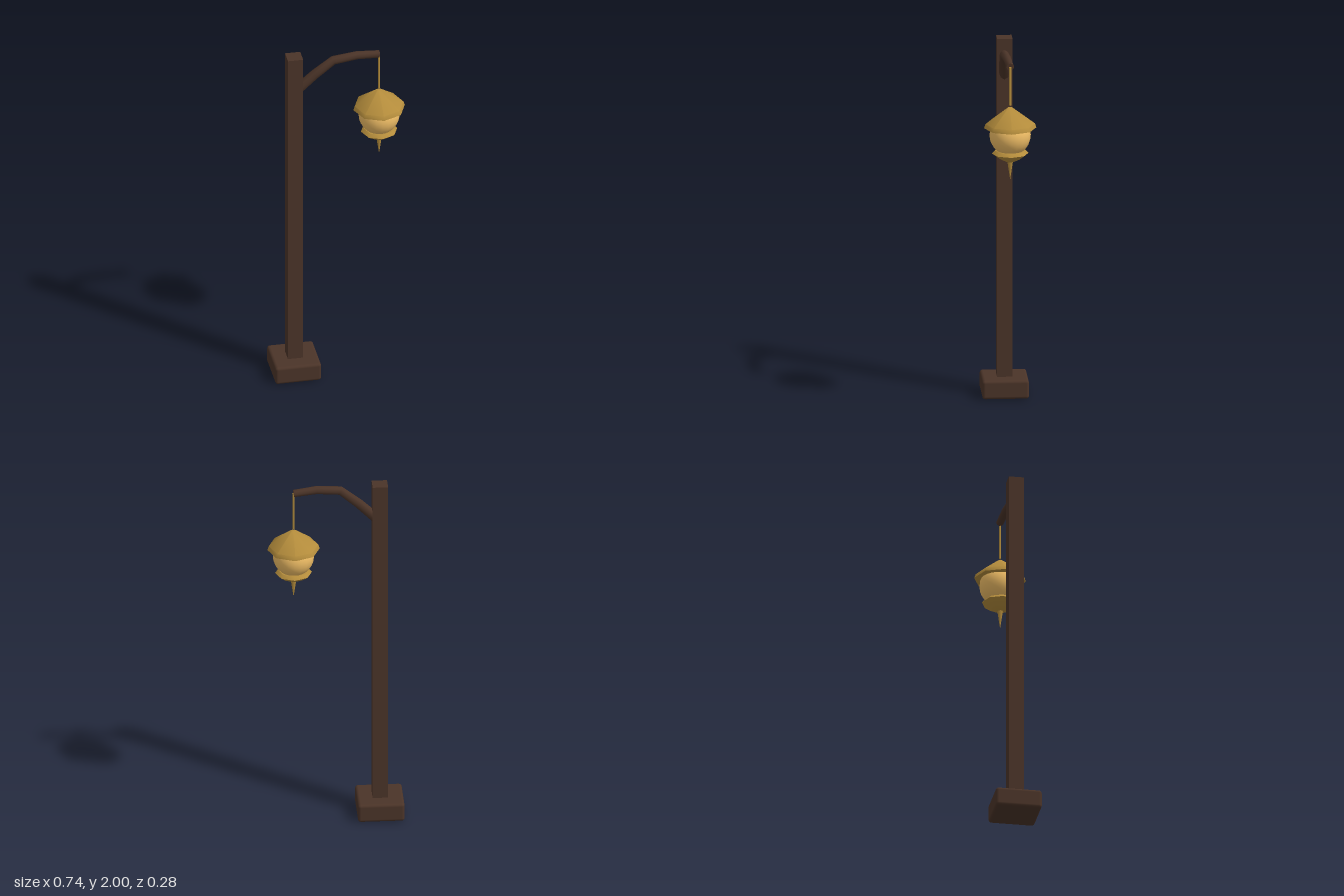
import * as THREE from 'three';
import { toCreasedNormals } from 'three/addons/utils/BufferGeometryUtils.js';
import { RoundedBoxGeometry } from 'three/addons/geometries/RoundedBoxGeometry.js';

const POST_X = -0.243;
const LAMP_X = 0.225;

const wood = new THREE.MeshStandardMaterial({ color: 0x4b3428 });
const brass = new THREE.MeshStandardMaterial({ color: 0xb58d3c });
const glow = new THREE.MeshStandardMaterial({ color: 0xf0be66 });

function add(group, name, geometry, material, x = 0, y = 0, z = 0) {
  const mesh = new THREE.Mesh(geometry, material);
  mesh.name = name;
  mesh.position.set(x, y, z);
  group.add(mesh);
  return mesh;
}

// Eight-sided turned part, profile given from bottom to top as [radius, y]
function octagonTurned(profile) {
  const points = profile.map(([r, y]) => new THREE.Vector2(r, y));
  return toCreasedNormals(new THREE.LatheGeometry(points, 8), 0.8);
}

// Bent branch that thins along its length, with closed ends
function taperedBranch(points, r0, r1, sides) {
  const path = new THREE.CurvePath();
  for (let i = 1; i < points.length; i++) path.add(new THREE.LineCurve3(points[i - 1], points[i]));
  const positions = [], index = [];
  const n = points.length;
  points.forEach((p, i) => {
    const dir = points[Math.min(i + 1, n - 1)].clone().sub(points[Math.max(i - 1, 0)]).normalize();
    const side = new THREE.Vector3(0, 0, 1).cross(dir).normalize();
    const up = dir.clone().cross(side);
    const r = THREE.MathUtils.lerp(r0, r1, i / (n - 1));
    for (let j = 0; j < sides; j++) {
      const a = (j / sides) * Math.PI * 2;
      const v = p.clone().addScaledVector(side, r * Math.cos(a)).addScaledVector(up, r * Math.sin(a));
      positions.push(v.x, v.y, v.z);
      if (i < n - 1) {
        const k = (j + 1) % sides, a0 = i * sides, b0 = a0 + sides;
        index.push(a0 + j, a0 + k, b0 + j, a0 + k, b0 + k, b0 + j);
      }
    }
  });
  const last = (n - 1) * sides;
  for (let j = 1; j < sides - 1; j++) {
    index.push(0, j + 1, j, last, last + j, last + j + 1);
  }
  const geometry = new THREE.BufferGeometry();
  geometry.setAttribute('position', new THREE.Float32BufferAttribute(positions, 3));
  geometry.setIndex(index);
  return toCreasedNormals(geometry, 0.9);
}

export function createModel() {
  const model = new THREE.Group();
  model.name = 'lampPost';

  // Base block and square post
  add(model, 'base', new RoundedBoxGeometry(0.253, 0.105, 0.253, 2, 0.016), wood, POST_X, 0.0525);
  add(model, 'post', new THREE.BoxGeometry(0.084, 1.93, 0.084), wood, POST_X, 1.035);

  // Crooked arm reaching out over the lantern
  const armPoints = [
    [-0.22, 1.795, 0.002], [-0.13, 1.88, 0.009], [-0.03, 1.96, 0.015],
    [0.1, 1.972, 0.008], [LAMP_X, 1.96, -0.001],
  ].map((p) => new THREE.Vector3(...p));
  add(model, 'arm', taperedBranch(armPoints, 0.029, 0.021, 8), wood);

  // Hanging lantern
  const lantern = new THREE.Group();
  lantern.name = 'lantern';
  lantern.position.x = LAMP_X;
  model.add(lantern);

  add(lantern, 'cord', new THREE.CylinderGeometry(0.006, 0.006, 0.215, 8), brass, 0, 1.8525);
  add(lantern, 'roof', octagonTurned([
    [0, 1.62], [0.142, 1.62], [0.134, 1.643], [0.012, 1.734], [0, 1.734],
  ]), brass);
  add(lantern, 'globe', new THREE.SphereGeometry(0.112, 20, 14), glow, 0, 1.58);
  add(lantern, 'cup', octagonTurned([
    [0, 1.432], [0.025, 1.432], [0.065, 1.452], [0.1, 1.478], [0.083, 1.495], [0, 1.495],
  ]), brass);
  add(lantern, 'spike', octagonTurned([
    [0, 1.33], [0.016, 1.436], [0, 1.436],
  ]), brass);

  return model;
}
